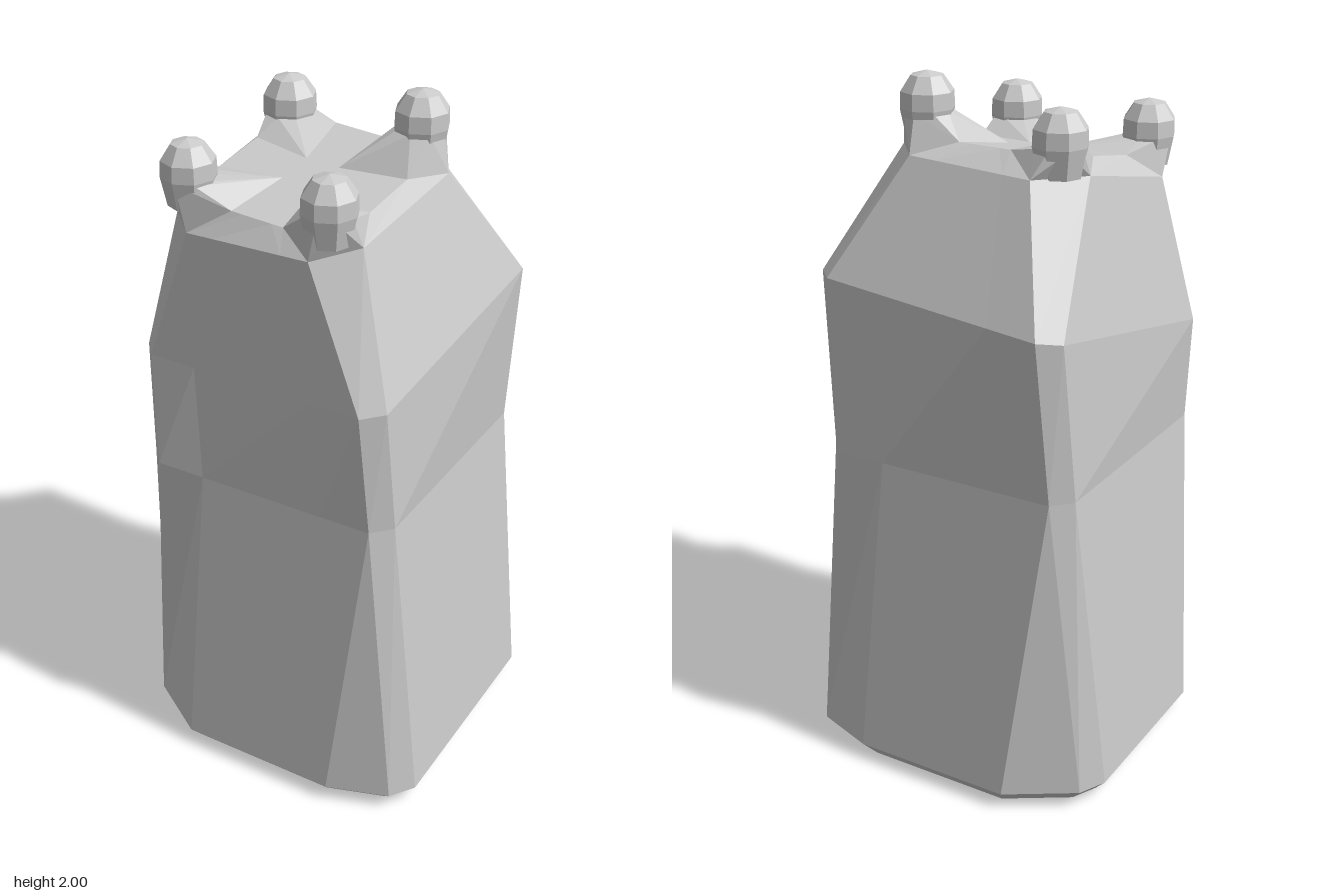
import * as THREE from 'three';
import { ConvexGeometry } from 'three/addons/geometries/ConvexGeometry.js';

const V = (p) => new THREE.Vector3(...p);
const plateauY = (z) => 1.8 - 0.18 * z;

// Corner points run: front-left pair, back-left pair, back-right pair, front-right pair.
const BASE = [[0.42, 0.05, 0.41], [0.47, 0.05, 0.34], [0.47, 0.05, -0.34], [0.42, 0.05, -0.41],
  [-0.43, 0.05, -0.35], [-0.47, 0.05, -0.27], [-0.47, 0.05, 0.27], [-0.43, 0.05, 0.35]];
const WAIST = [[0.335, 0.96, 0.4], [0.385, 0.96, 0.345], [0.385, 0.96, -0.34], [0.335, 0.96, -0.395],
  [-0.345, 0.96, -0.395], [-0.395, 0.96, -0.34], [-0.395, 0.96, 0.345], [-0.345, 0.96, 0.4]];
const SHOULDER = [[0.315, 1.32, 0.425], [0.37, 1.325, 0.375], [0.425, 1.46, -0.31], [0.37, 1.46, -0.365],
  [-0.32, 1.42, -0.43], [-0.375, 1.41, -0.38], [-0.425, 1.28, 0.305], [-0.38, 1.28, 0.355]];
const RIM = [[0.14, 1.695, 0.375], [0.25, 1.725, 0.29], [0.285, 1.79, -0.1], [0.19, 1.79, -0.215],
  [-0.2, 1.78, -0.25], [-0.31, 1.78, -0.13], [-0.34, 1.7, 0.24], [-0.25, 1.67, 0.34]];
const PLATEAU = [[0.035, 0.32], [0.205, 0.18], [0.22, 0.01], [0.07, -0.155],
  [-0.1, -0.175], [-0.265, -0.03], [-0.28, 0.135], [-0.13, 0.305]].map(([x, z]) => [x, plateauY(z), z]);

// Adds two middle points to the back and front sides; bulge fixes them on the base outline.
function ring(corners, bulge) {
  const pts = corners.map(V);
  const mids = (a, b, z) => [0.22, 0.78].map((t, i) => bulge
    ? V([Math.sign(a.x) * (i ? -0.24 : 0.24), a.y, z])
    : a.clone().lerp(b, t));
  return [...pts.slice(0, 4), ...mids(pts[3], pts[4], -0.47),
    ...pts.slice(4), ...mids(pts[7], pts[0], 0.47)];
}

function bodyGeometry() {
  const base = ring(BASE, true);
  const foot = base.map((p) => V([p.x * 0.91, 0, p.z * 0.91]));
  const rings = [foot, base, ...[WAIST, SHOULDER, RIM, PLATEAU].map((r) => ring(r, false))];
  const out = [];
  const tri = (...ps) => ps.forEach((p) => out.push(p.x, p.y, p.z));
  const n = base.length;
  for (let i = 0; i < n; i++) {
    const j = (i + 1) % n;
    for (let k = 0; k < rings.length - 1; k++) {
      const [a, b] = [rings[k], rings[k + 1]];
      tri(a[i], a[j], b[j]);
      tri(a[i], b[j], b[i]);
    }
    // underside and top plateau
    tri(V([0, 0, 0]), foot[j], foot[i]);
    const top = rings[rings.length - 1];
    tri(V([-0.03, plateauY(0.07), 0.07]), top[i], top[j]);
  }
  const geo = new THREE.BufferGeometry();
  geo.setAttribute('position', new THREE.Float32BufferAttribute(out, 3));
  geo.computeVertexNormals();
  return geo;
}

// Knob position is its peak; tip is where the buttress meets the plateau; at = first corner index.
const HORNS = [
  { name: 'frontLeft', peak: [0.165, 1.91, 0.31], tip: [0.02, 0.13], at: 0 },
  { name: 'backLeft', peak: [0.195, 2.0, -0.115], tip: [0.025, 0.025], at: 2 },
  { name: 'backRight', peak: [-0.235, 1.955, -0.155], tip: [-0.08, 0.015], at: 4 },
  { name: 'frontRight', peak: [-0.275, 1.905, 0.28], tip: [-0.09, 0.12], at: 6 },
];

export function createModel() {
  const group = new THREE.Group();
  const mat = new THREE.MeshStandardMaterial({ color: 0xcccccc, flatShading: true });
  const add = (geo, name) => {
    const mesh = new THREE.Mesh(geo, mat);
    mesh.name = name;
    group.add(mesh);
    return mesh;
  };

  add(bodyGeometry(), 'pillarBody');

  // Faceted knob with a shallow domed cap
  const profile = [[0.06, -0.18], [0.076, -0.1], [0.074, -0.055], [0.045, -0.012], [0, 0]]
    .map(([r, y]) => new THREE.Vector2(r, y));
  const knob = new THREE.LatheGeometry(profile, 8);

  for (const { name, peak, tip, at } of HORNS) {
    add(knob, name + 'Knob').position.set(...peak);

    // Flared buttress from the chamfered corner and plateau up to the knob
    const pts = [at, at + 1].flatMap((i) => [V(RIM[i]), V(PLATEAU[i])]);
    pts.push(V([tip[0], plateauY(tip[1]), tip[1]]));
    for (let i = 0; i < 8; i++) {
      const a = (i * Math.PI) / 4;
      pts.push(V([peak[0] + 0.066 * Math.sin(a), peak[1] - 0.105, peak[2] + 0.066 * Math.cos(a)]));
    }
    add(new ConvexGeometry(pts), name + 'Buttress');
  }
  return group;
}
